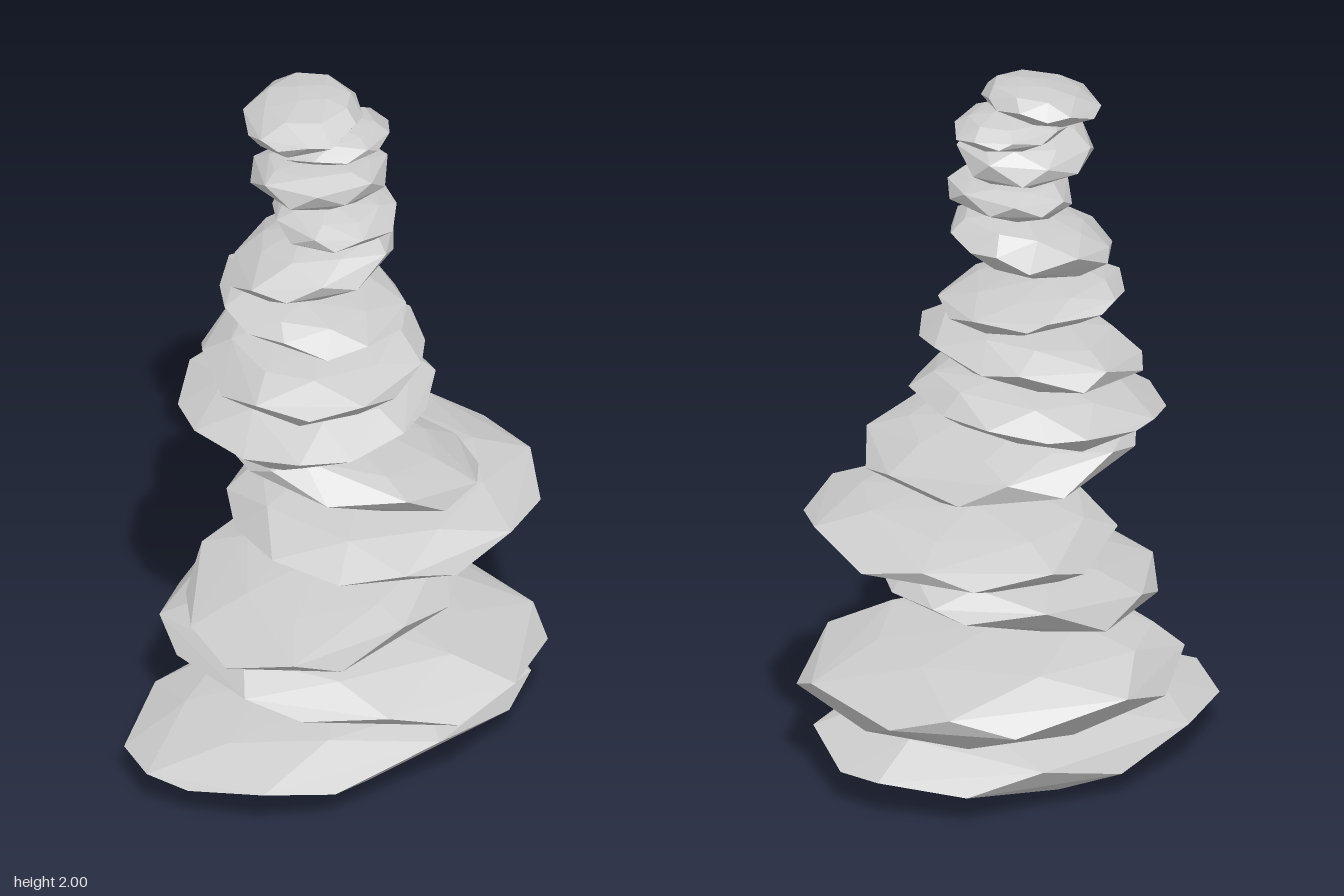
import * as THREE from 'three';
import { ConvexGeometry } from 'three/addons/geometries/ConvexGeometry.js';

// Stones from bottom to top.
// box: x range, y range, z range; rise: climb of the rim along +x and +z;
// top / bottom: sideways shift of the crown and the base along x;
// blunt: thickness of the rim at the x ends and the z ends; skew: slant of the outline
const STONES = [
  { box: [-0.59, 0.57, 0.00, 0.22, -0.36, 0.41], rise: [0, 0.03], blunt: [0.05, 0.32] },
  { box: [-0.36, 0.56, 0.16, 0.44, -0.49, 0.49], rise: [-0.03, -0.05], top: -0.3, bottom: 0.22, skew: 0.12 },
  { box: [-0.43, 0.41, 0.42, 0.65, -0.34, 0.41], rise: [0.15, 0.03], top: 0.25, bottom: -0.2, blunt: [0.08, 0.4], skew: -0.15 },
  { box: [-0.23, 0.59, 0.61, 0.82, -0.40, 0.43], rise: [0.06, 0.01], top: -0.15, bottom: -0.12 },
  { box: [-0.26, 0.36, 0.81, 1.04, -0.31, 0.39], rise: [-0.17, -0.01], top: -0.15, bottom: 0.15, blunt: [0.2, 0.35], skew: 0.18 },
  { box: [-0.34, 0.31, 0.98, 1.17, -0.39, 0.28], rise: [0.07, 0], top: 0.2, bottom: -0.15, blunt: [0.08, 0.06] },
  { box: [-0.29, 0.28, 1.12, 1.31, -0.35, 0.29], rise: [0.08, 0], bottom: -0.15 },
  { box: [-0.24, 0.24, 1.30, 1.44, -0.30, 0.21], rise: [-0.04, -0.05], top: -0.2, bottom: 0.15 },
  { box: [-0.23, 0.22, 1.43, 1.62, -0.23, 0.17], rise: [0.08, 0.04], top: 0.2, blunt: [0.12, 0.3] },
  { box: [-0.12, 0.20, 1.60, 1.72, -0.18, 0.18], rise: [0.02, 0], blunt: [0.4, 0.2] },
  { box: [-0.18, 0.19, 1.71, 1.86, -0.19, 0.14], rise: [-0.02, 0.03], blunt: [0.35, 0.25] },
  { box: [-0.10, 0.23, 1.82, 1.92, -0.17, 0.09], rise: [0, 0.01] },
  { box: [-0.16, 0.15, 1.88, 2.00, -0.24, 0.08], rise: [0.04, 0], top: 0.2, bottom: -0.15 },
];

function seeded(seed) {
  let s = seed * 7919 + 17;
  return () => {
    s = (s * 16807) % 2147483647;
    return s / 2147483647 - 0.5;
  };
}

// Faceted pebble: jittered rings, tilted, wrapped in a hull and fitted to its box
function stoneGeometry({ box, rise, top = 0, bottom = 0, blunt = [0.15, 0.2], skew = 0 }, seed) {
  const rand = seeded(seed);
  for (let i = 0; i < 5; i++) rand();
  const [x0, x1, y0, y1, z0, z1] = box;
  const tiltX = rise[0] / (y1 - y0);
  const tiltZ = rise[1] / (y1 - y0);
  const points = [];

  const addRing = (count, radius, turn, shift, heightAt) => {
    for (let i = 0; i < count; i++) {
      const a = turn + ((i + rand() * 0.3) / count) * Math.PI * 2;
      const r = radius * (1 + rand() * 0.06);
      const x = r * Math.cos(a) + shift;
      const z = r * Math.sin(a) + skew * x;
      const y = heightAt(a) + rand() * 0.16 + tiltX * x + tiltZ * z;
      points.push(new THREE.Vector3(x, y, z));
    }
  };
  const rimHeight = (a) => blunt[0] * Math.cos(a) ** 2 + blunt[1] * Math.sin(a) ** 2;

  // base, lower shoulder, two staggered rim rings, upper shoulder, crown
  const turn = rand() * 6;
  addRing(5, 0.36, rand() * 6, bottom, () => -0.97);
  addRing(8, 0.74, rand() * 6, bottom * 0.5, () => -0.7);
  addRing(7, 1, turn, 0, (a) => -rimHeight(a));
  addRing(7, 1, turn + Math.PI / 7, 0, rimHeight);
  addRing(8, 0.73, rand() * 6, top * 0.5, () => 0.69);
  addRing(4, 0.3, rand() * 6, top, () => 0.96);

  const bounds = new THREE.Box3().setFromPoints(points);
  const size = bounds.getSize(new THREE.Vector3());
  const target = new THREE.Vector3(x1 - x0, y1 - y0, z1 - z0);
  const origin = new THREE.Vector3(x0, y0, z0);
  for (const p of points) p.sub(bounds.min).divide(size).multiply(target).add(origin);
  return new ConvexGeometry(points);
}

export function createModel() {
  const model = new THREE.Group();
  model.name = 'stoneStack';
  const material = new THREE.MeshStandardMaterial({ color: 0xcccccc, flatShading: true });
  STONES.forEach((stone, i) => {
    const mesh = new THREE.Mesh(stoneGeometry(stone, i + 1), material);
    mesh.name = `stone${i + 1}`;
    model.add(mesh);
  });
  return model;
}
